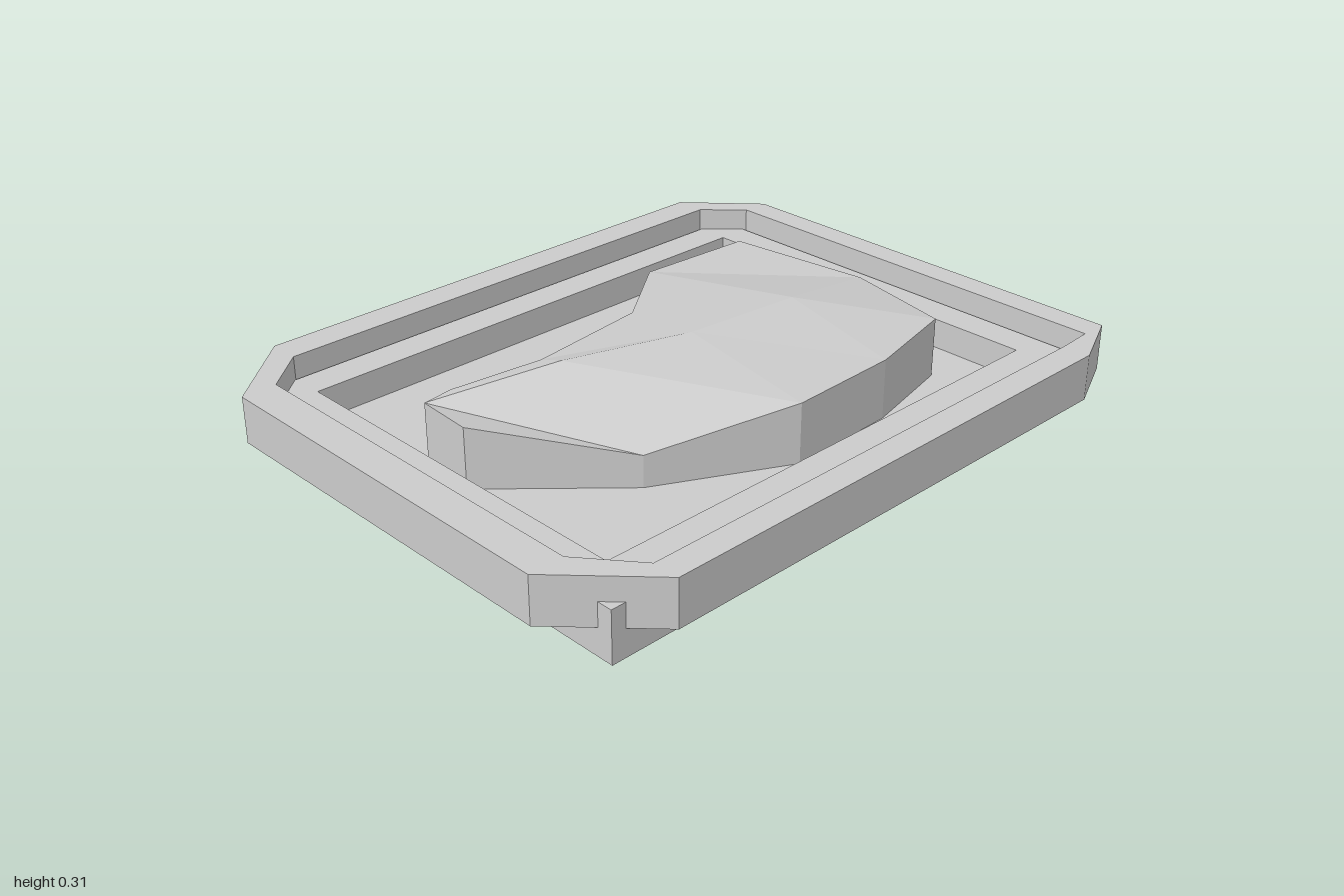
import * as THREE from 'three';

const material = new THREE.MeshStandardMaterial({ color: 0xcccccc, flatShading: true, side: THREE.DoubleSide });

function addMesh(group, name, geometry) {
  const mesh = new THREE.Mesh(geometry, material);
  mesh.name = name;
  group.add(mesh);
}

const toPoints = (plan) => plan.map(([x, z]) => new THREE.Vector2(x, -z));
const rectangle = (x0, x1, z0, z1) => [[x0, z0], [x1, z0], [x1, z1], [x0, z1]];

// Upright frame with the given [x, z] outline and opening
function frame(outer, inner, y0, y1) {
  const shape = new THREE.Shape(toPoints(outer));
  shape.holes.push(new THREE.Path(toPoints(inner)));
  const geometry = new THREE.ExtrudeGeometry(shape, { depth: y1 - y0, bevelEnabled: false });
  return geometry.rotateX(-Math.PI / 2).translate(0, y0, 0);
}

// Faceted block: outline goes clockwise from above, inner corners follow it
function facetedBlock(outline, ridge, facets, floorY) {
  const corners = [...outline, ...ridge];
  const positions = [];
  const quad = (a, b, c, d) => [a, b, c, a, c, d].forEach((p) => positions.push(...p));
  facets.forEach((f) => quad(...f.map((i) => corners[i]).reverse()));
  outline.forEach((a, i) => {
    const b = outline[(i + 1) % outline.length];
    quad(a, b, [b[0], floorY, b[2]], [a[0], floorY, a[2]]);
  });
  const geometry = new THREE.BufferGeometry();
  geometry.setAttribute('position', new THREE.Float32BufferAttribute(positions, 3));
  geometry.computeVertexNormals();
  return geometry;
}

export function createModel() {
  const group = new THREE.Group();
  const floorY = 0.06;

  // Shallow square-cornered tray
  const recess = rectangle(-0.608, 0.567, -0.81, 0.77);
  addMesh(group, 'trayWall', frame(rectangle(-0.71, 0.72, -0.91, 0.895), recess, 0, 0.15));
  const floor = new THREE.BoxGeometry(1.175, floorY, 1.58);
  floor.translate(-0.0205, floorY / 2, -0.02);
  addMesh(group, 'trayFloor', floor);

  // Raised rim with cut corners
  const rimOuter = [[-0.605, -1], [0.72, -1], [0.805, -0.81], [0.805, 0.77],
    [0.565, 1], [-0.605, 1], [-0.81, 0.77], [-0.81, -0.81]];
  const rimInner = [[-0.607, -0.918], [0.718, -0.918], [0.724, -0.81], [0.724, 0.77],
    [0.565, 0.896], [-0.605, 0.896], [-0.715, 0.77], [-0.715, -0.81]];
  addMesh(group, 'rim', frame(rimOuter, rimInner, 0.08, 0.218));

  // Faceted relief: broad head, narrowing to a tip at the front
  const outline = [
    [-0.40, 0.24, -0.67], [0.05, 0.24, -0.725], [0.39, 0.24, -0.655], [0.46, 0.24, -0.35],
    [0.47, 0.24, 0.0], [0.275, 0.155, 0.38], [-0.035, 0.24, 0.71], [-0.21, 0.24, 0.70],
    [-0.215, 0.245, 0.61], [-0.13, 0.28, 0.37], [-0.195, 0.27, -0.02], [-0.42, 0.24, -0.30],
  ];
  const ridge = [[0.10, 0.305, -0.365], [0.065, 0.305, 0.0], [-0.05, 0.305, 0.37]];
  const facets = [
    [0, 1, 12, 11], [1, 2, 3, 12], [12, 3, 4, 13], [11, 12, 13, 10],
    [10, 13, 14, 9], [9, 14, 7, 8], [13, 4, 5, 14], [14, 5, 6, 7],
  ];
  addMesh(group, 'facetedRelief', facetedBlock(outline, ridge, facets, floorY));

  return group;
}
